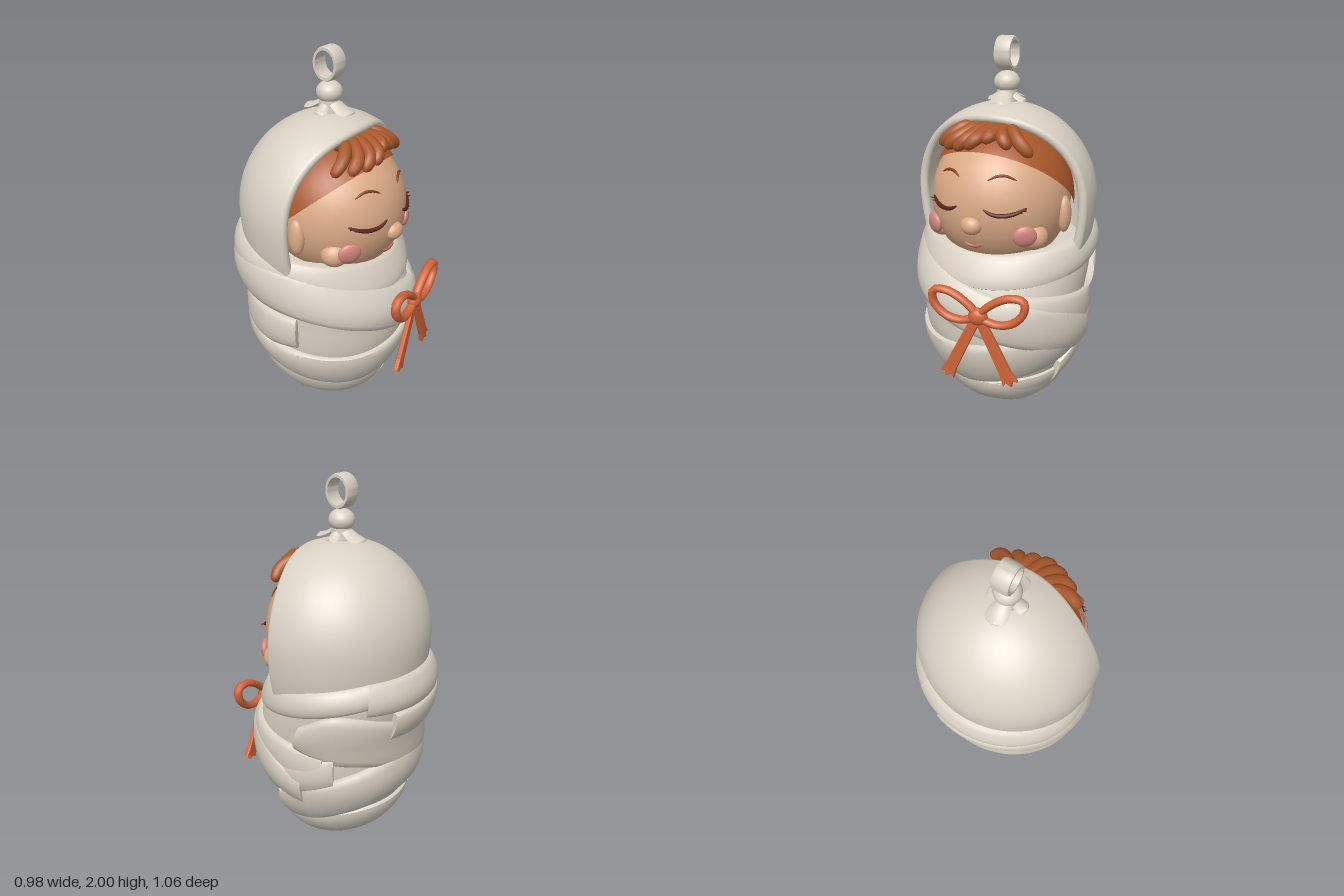
import * as THREE from 'three';
import { mergeVertices, toCreasedNormals } from 'three/addons/utils/BufferGeometryUtils.js';

const mat = (name, color, side = THREE.FrontSide) => {
  const m = new THREE.MeshStandardMaterial({ color, side });
  m.name = name;
  return m;
};
const V = (x, y, z) => new THREE.Vector3(x, y, z);
const lerp = THREE.MathUtils.lerp, smooth = THREE.MathUtils.smoothstep;

// Surface from a rule: fn(i, j) gives the point at column i, row j
function grid(nu, nv, fn) {
  const pos = [], idx = [];
  for (let i = 0; i <= nu; i++) for (let j = 0; j <= nv; j++) pos.push(...fn(i, j));
  for (let i = 0; i < nu; i++) for (let j = 0; j < nv; j++) {
    const a = i * (nv + 1) + j, b = a + nv + 1;
    idx.push(a, b, b + 1, a, b + 1, a + 1);
  }
  let g = new THREE.BufferGeometry();
  g.setAttribute('position', new THREE.Float32BufferAttribute(pos, 3));
  g.setIndex(idx);
  g = mergeVertices(g, 1e-5);
  g.computeVertexNormals();
  return g;
}

// Smooth lookup between rows [x, a, b, ...]
function table(rows, x, k) {
  const n = rows.length - 1;
  if (x <= rows[0][0]) return rows[0][k];
  if (x >= rows[n][0]) return rows[n][k];
  const i = rows.findIndex(r => r[0] > x) - 1;
  const h = rows[i + 1][0] - rows[i][0], t = (x - rows[i][0]) / h, t2 = t * t, t3 = t2 * t;
  const m = q => (rows[Math.min(n, q + 1)][k] - rows[Math.max(0, q - 1)][k]) /
    (rows[Math.min(n, q + 1)][0] - rows[Math.max(0, q - 1)][0]);
  return (2 * t3 - 3 * t2 + 1) * rows[i][k] + (t3 - 2 * t2 + t) * h * m(i) +
    (3 * t2 - 2 * t3) * rows[i + 1][k] + (t3 - t2) * h * m(i + 1);
}

// Bundle outline: radius by height, leaning back near the shoulders
const OUTLINE = [[0, 0.07], [0.03, 0.14], [0.08, 0.215], [0.15, 0.275], [0.25, 0.335], [0.35, 0.38],
  [0.5, 0.428], [0.7, 0.44], [0.85, 0.45], [1, 0.44], [1.1, 0.41]];
function bundle(deg, y, out = 0) {
  y = Math.max(y, 0.002);
  const a = THREE.MathUtils.degToRad(deg), r = table(OUTLINE, y, 1) + out, top = smooth(y, 0.68, 1.0);
  return [Math.sin(a) * r, y, Math.cos(a) * r * lerp(0.965, 0.9, top) - 0.015 - 0.085 * top];
}

// Cloth band lying on the bundle; rows are [degrees, height, half width]
const EDGE = [[-1, -0.03], [-1, 0.004], [-0.93, 0.016], [-0.7, 0.025], [-0.35, 0.031], [0, 0.033],
  [0.35, 0.031], [0.7, 0.025], [0.93, 0.016], [1, 0.004], [1, -0.03]];
function band(rows, lift) {
  const n = 64, d0 = rows[0][0], d1 = rows[rows.length - 1][0];
  const g = grid(n + 2, EDGE.length - 1, (i, j) => {
    const d = lerp(d0, d1, Math.min(Math.max(i - 1, 0), n) / n), [u, o] = EDGE[j];
    const end = i === 0 || i === n + 2;
    return bundle(d, table(rows, d, 1) + u * table(rows, d, 2), end ? -0.03 : o + (o > 0 ? lift : 0));
  });
  return toCreasedNormals(g, 0.8);
}

// Round strand whose thickness follows a rule along its length
function strand(points, radius, rule, closed = false) {
  const seg = 28, side = 10, curve = new THREE.CatmullRomCurve3(points, closed);
  const g = new THREE.TubeGeometry(curve, seg, radius, side, closed), p = g.attributes.position, v = V();
  for (let i = 0; i <= seg; i++) {
    const c = curve.getPointAt(i / seg);
    for (let j = 0; j <= side; j++) {
      const k = i * (side + 1) + j;
      v.fromBufferAttribute(p, k).sub(c).multiplyScalar(rule(i / seg)).add(c);
      p.setXYZ(k, v.x, v.y, v.z);
    }
  }
  g.deleteAttribute('uv');
  g.deleteAttribute('normal');
  const merged = mergeVertices(g, 1e-5);
  merged.computeVertexNormals();
  return merged;
}
const spindle = t => 0.15 + 0.85 * Math.sqrt(Math.sin(Math.PI * t) + 1e-6);
const lockShape = t => 0.05 + 0.95 * Math.sqrt(Math.max(1 - Math.pow(Math.abs(2 * t - 1), 5), 0));

export function createModel() {
  const root = new THREE.Group();
  const cloth = mat('cream cloth', 0xd9d1c3, THREE.DoubleSide), skin = mat('skin', 0xdcab87);
  const hairMat = mat('auburn hair', 0xaa582a), ribbon = mat('orange ribbon', 0xd0643a);
  const blush = mat('pink blush', 0xd48881), dark = mat('dark lashes', 0x5a2419);
  const browMat = mat('brown brows', 0x84401f), lip = mat('lips', 0xbf6a60);
  const add = (name, geo, m, parent = root) => {
    const mesh = new THREE.Mesh(geo, m);
    mesh.name = name;
    parent.add(mesh);
    return mesh;
  };
  const ball = (name, m, p, s, parent = root) => {
    const b = add(name, new THREE.SphereGeometry(1, 32, 20), m, parent);
    b.position.set(...p);
    b.scale.set(...s);
    return b;
  };

  // Swaddled bundle, closed at bottom and top
  add('bundle', grid(72, 42, (i, j) => {
    const y = Math.min(Math.max(j - 1, 0), 40) / 40 * 0.97, p = bundle((i % 72) * 5, y);
    return j === 0 ? [0, 0, -0.015] : j === 42 ? [0, 0.97, -0.09] : p;
  }), cloth);

  // Overlapping wraps
  const wrap = (name, lift, ...rows) => add(name, band(rows, lift), cloth);
  wrap('collarWrap', 0.004, [-220, 1.01, 0.08], [-145, 1.0, 0.09], [-90, 0.97, 0.085], [0, 0.895, 0.08], [60, 0.93, 0.08], [141, 1.03, 0.06]);
  wrap('chestWrap', 0.016, [-200, 0.84, 0.08], [-145, 0.85, 0.1], [-95, 0.88, 0.125], [-60, 0.845, 0.13], [0, 0.7, 0.12], [70, 0.55, 0.125], [103, 0.45, 0.09]);
  wrap('waistWrap', 0.006, [-135, 0.48, 0.1], [-45, 0.36, 0.12], [0, 0.37, 0.13], [40, 0.43, 0.13], [90, 0.52, 0.11], [125, 0.6, 0.09]);
  wrap('sideWrap', 0.002, [30, 0.7, 0.09], [80, 0.64, 0.1], [118, 0.6, 0.1]);
  wrap('hipWrap', 0.01, [72, 0.26, 0.08], [100, 0.34, 0.12], [135, 0.44, 0.13], [180, 0.52, 0.13], [225, 0.48, 0.12], [268, 0.42, 0.09]);
  wrap('backWrap', 0.004, [98, 0.78, 0.07], [118, 0.79, 0.14], [150, 0.75, 0.14], [190, 0.66, 0.13], [220, 0.61, 0.13], [285, 0.63, 0.09]);
  wrap('kneeWrap', 0, [-150, 0.3, 0.1], [-80, 0.24, 0.1], [0, 0.16, 0.09], [40, 0.19, 0.085], [75, 0.22, 0.07]);
  wrap('footWrap', 0.004, [10, 0.17, 0.08], [45, 0.15, 0.1], [90, 0.17, 0.09], [150, 0.22, 0.1], [215, 0.25, 0.08]);

  // Hood: rounded shell with a soft lip around the face
  const outerN = 24, lipN = 8, innerN = 16;
  add('hood', grid(80, outerN + lipN + innerN, (i, j) => {
    const a = (i % 80) / 80 * Math.PI * 2, up = Math.max(Math.sin(a), 0);
    const vMax = Math.acos(-(0.062 + 0.11 * up ** 3) / 0.46);
    let v = vMax, s = 1, dz = 0;
    if (j <= outerN) v = vMax * j / outerN;
    else if (j <= outerN + lipN) {
      const t = (j - outerN) / lipN * Math.PI;
      s = 0.95 + 0.05 * Math.cos(t);
      dz = 0.022 * Math.sin(t);
    } else {
      v = vMax * (1 - (j - outerN - lipN) / innerN);
      s = 0.9;
    }
    const ry = Math.sin(a) > 0 ? 0.48 : 0.7;
    return [0.482 * s * Math.cos(a) * Math.sin(v), 1.2 + ry * s * Math.sin(a) * Math.sin(v),
      -0.02 - 0.46 * (v < Math.PI / 2 ? s : 1) * Math.cos(v) + dz];
  }), cloth);

  // Head
  ball('head', skin, [0, 1.2, 0.02], [0.36, 0.37, 0.365]);
  const faceZ = (x, y) => 0.02 + 0.365 * Math.sqrt(Math.max(1 - (x / 0.36) ** 2 - ((y - 1.2) / 0.37) ** 2, 0));
  const onFace = (pts, out) => pts.map(([x, y]) => V(x, y, faceZ(x, y) + out));
  ball('nose', skin, [0.003, 1.14, 0.375], [0.055, 0.046, 0.042]);
  add('mouth', strand(onFace([[-0.05, 1.04], [-0.025, 1.028], [0, 1.024], [0.025, 1.028], [0.05, 1.04]], 0.004), 0.009, spindle), lip);
  for (const s of [-1, 1]) {
    const side = s > 0 ? 'left' : 'right', m = pts => pts.map(([x, y]) => [x * s, y]);
    ball(side + 'Ear', skin, [0.358 * s, 1.15, 0.045], [0.034, 0.095, 0.045]);
    ball(side + 'Cheek', skin, [0.25 * s, 1.068, 0.2], [0.08, 0.07, 0.072]);
    const disc = ball(side + 'Blush', blush, [0.249 * s, 1.092, 0.286], [0.06, 0.054, 0.024]);
    disc.rotation.set(0.1, 0.6 * s, 0, 'YXZ');
    add(side + 'Eyelid', strand(onFace(m([[0.07, 1.232], [0.11, 1.21], [0.16, 1.203], [0.21, 1.212], [0.255, 1.235]]), 0.004), 0.011, spindle), dark);
    for (const [x, y] of [[0.24, 1.225], [0.222, 1.216]])
      add(side + 'Lash', strand([0, 0.5, 1].map(t => V(s * (x + 0.026 * t), y + 0.004 * t, faceZ(x, y) + 0.01 * t)), 0.007, t => 1 - 0.8 * t), dark);
    add(side + 'Brow', strand(onFace(m([[0.075, 1.365], [0.11, 1.383], [0.15, 1.386], [0.2, 1.365]]), 0.002), 0.007, spindle), browMat);
  }

  // Hair: tilted cap with swept locks over the forehead
  const cap = add('hairCap', new THREE.SphereGeometry(0.377, 48, 24, 0, Math.PI * 2, 0, 1.46), hairMat);
  cap.position.set(0, 1.2, 0.02);
  cap.rotation.x = -0.72;
  // each lock: root x, then tip x, y, z
  const locks = [[-0.1, -0.26, 1.475, 0.19], [-0.04, -0.2, 1.475, 0.25], [0.0, -0.13, 1.48, 0.285],
    [0.04, -0.065, 1.495, 0.3], [0.08, 0.015, 1.53, 0.275], [0.06, 0.15, 1.505, 0.25], [0.1, 0.25, 1.47, 0.215]];
  for (const [rx, x, y, z] of locks) {
    add('hairLock', strand([V(rx, 1.55, 0.08), V(lerp(rx, x, 0.15), 1.575, 0.16),
      V(lerp(rx, x, 0.55), lerp(1.575, y, 0.4), lerp(0.16, z, 0.75) + 0.015), V(x, y, z)], 0.033, lockShape), hairMat);
  }

  // Ribbon bow
  const bow = new THREE.Group();
  bow.name = 'bow';
  bow.position.set(0.085, 0.72, 0.475);
  bow.rotation.y = 0.12;
  root.add(bow);
  ball('knot', ribbon, [0, -0.005, 0], [0.05, 0.045, 0.035], bow);
  for (const s of [-1, 1]) {
    const loop = [[0.01, 0], [0.08, 0.075], [0.17, 0.115], [0.232, 0.105], [0.232, 0.045], [0.17, -0.02], [0.08, -0.035]];
    add('loop', strand(loop.map(([x, y]) => V(x * s, y, 0)), 0.02, () => 1, true), ribbon, bow).scale.z = 1.25;
    const tail = new THREE.Shape([[-0.02, 0], [-0.027, -0.33], [-0.038, -0.385], [-0.018, -0.37], [0, -0.4],
      [0.018, -0.37], [0.038, -0.385], [0.027, -0.33], [0.02, 0]].map(p => new THREE.Vector2(...p)));
    const t = add('tail', new THREE.ExtrudeGeometry(tail, { depth: 0.014, bevelSize: 0.004, bevelThickness: 0.006, bevelSegments: 2 }), ribbon, bow);
    t.position.z = -0.007;
    t.rotation.z = 0.45 * s;
  }

  // Hanger: petals, collar, bead and loop
  const hanger = new THREE.Group();
  hanger.name = 'hanger';
  hanger.position.set(0.007, 0, -0.028);
  root.add(hanger);
  for (let k = 0; k < 4; k++) {
    const len = k % 2 ? 0.075 : 0.112;
    add('petal', grid(10, 14, (i, j) => {
      const u = i / 5 - 1, t = j / 14, w = (k % 2 ? 0.042 : 0.066) * Math.sqrt(Math.max(1 - t ** 4, 0)) * (0.6 + 0.5 * t);
      return [u * w, 1.755 - 0.105 * t + 0.047 * t * t - 0.03 * u * u * (1 - t * 0.6), 0.028 + len * t];
    }), cloth, hanger).rotation.y = k * Math.PI / 2;
  }
  add('neck', new THREE.CylinderGeometry(0.05, 0.056, 0.07, 32), cloth, hanger).position.y = 1.715;
  ball('bead', cloth, [0, 1.775, 0], [0.066, 0.056, 0.066], hanger);
  const ring = [[0.056, -0.042], [0.068, -0.042], [0.072, -0.03], [0.072, 0.03], [0.068, 0.042], [0.056, 0.042], [0.056, -0.042]];
  const hoop = add('hangingLoop', toCreasedNormals(new THREE.LatheGeometry(ring.map(p => new THREE.Vector2(...p)), 48), 0.7), cloth, hanger);
  hoop.rotation.z = Math.PI / 2;
  hoop.scale.x = 1.17;
  hoop.position.y = 1.916;
  return root;
}
